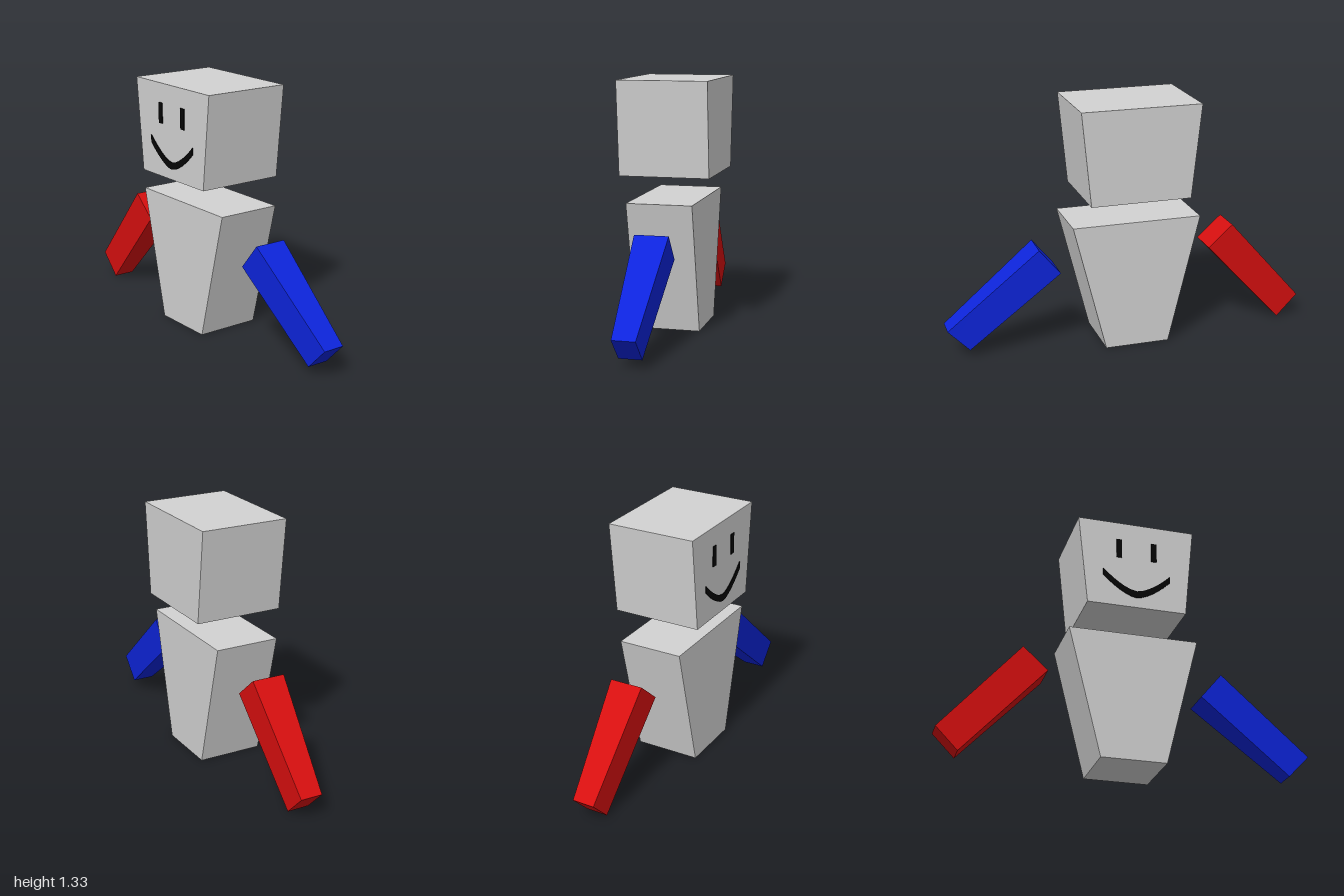
import * as THREE from 'three';

const material = (name, color) => {
  const m = new THREE.MeshStandardMaterial({ color });
  m.name = name;
  return m;
};

// Tapered block from a side profile of four [z, y] corners, clockwise as seen
// from +x; halfWidths gives the half width in x at each corner.
function taperedBlock(name, mat, corners, halfWidths, centreX = 0) {
  const geo = new THREE.BoxGeometry(1, 1, 1);
  const p = geo.attributes.position;
  for (let i = 0; i < p.count; i++) {
    const top = p.getY(i) > 0, front = p.getZ(i) > 0;
    const k = top ? (front ? 0 : 1) : (front ? 3 : 2);
    const [z, y] = corners[k];
    p.setXYZ(i, centreX + Math.sign(p.getX(i)) * halfWidths[k], y, z);
  }
  geo.computeVertexNormals();
  const mesh = new THREE.Mesh(geo, mat);
  mesh.name = name;
  return mesh;
}

// Curved mouth outline: an arc drawn one way and back again, offset by the stroke
function mouthShape(halfWidth, depth, stroke) {
  const n = 12, upper = [], lower = [];
  for (let i = 0; i <= n; i++) {
    const t = (i / n) * 2 - 1;
    const u = t * halfWidth, v = -depth * (1 - Math.abs(t) ** 1.6);
    upper.push(new THREE.Vector2(u, v + stroke / 2));
    lower.unshift(new THREE.Vector2(u, v - stroke / 2));
  }
  return new THREE.Shape([...lower.reverse(), ...upper.reverse()]);
}

export function createModel() {
  const model = new THREE.Group();
  model.name = 'blockFigure';
  const grey = material('light grey', 0xd2d2d2);
  const red = material('red', 0xd80f0f);
  const blue = material('blue', 0x0d24dc);
  const black = material('black', 0x050505);

  // Body and floating head, both narrowing downwards
  model.add(taperedBlock('body', grey,
    [[0.34, 0.7], [-0.36, 0.7], [-0.185, 0], [0.165, 0]],
    [0.175, 0.175, 0.175, 0.175], -0.005));
  model.add(taperedBlock('head', grey,
    [[0.308, 1.33], [-0.335, 1.33], [-0.28, 0.83], [0.26, 0.83]],
    [0.24, 0.24, 0.24, 0.24]));

  // Detached arms, slimmer at the hand end
  model.add(taperedBlock('blueArm', blue,
    [[1, 0.16], [0.505, 0.57], [0.39, 0.43], [0.885, 0.04]],
    [0.06, 0.09, 0.09, 0.06], 0.002));
  model.add(taperedBlock('redArm', red,
    [[-0.445, 0.48], [-0.58, 0.6], [-1, 0.125], [-0.882, 0.005]],
    [0.09, 0.09, 0.06, 0.06], 0.002));

  // Face on the -x side of the head
  const face = new THREE.Group();
  face.name = 'face';
  face.position.set(-0.24, 0, -0.012);
  for (const side of [-1, 1]) {
    const eye = new THREE.Mesh(new THREE.BoxGeometry(0.006, 0.11, 0.03), black);
    eye.name = 'eye';
    eye.position.set(-0.002, 1.172, side * 0.097);
    face.add(eye);
  }
  const mouth = new THREE.Mesh(
    new THREE.ExtrudeGeometry(mouthShape(0.185, 0.115, 0.038), { depth: 0.005, bevelEnabled: false }), black);
  mouth.name = 'mouth';
  mouth.rotation.y = -Math.PI / 2;
  mouth.position.y = 1.02;
  face.add(mouth);
  model.add(face);

  return model;
}
